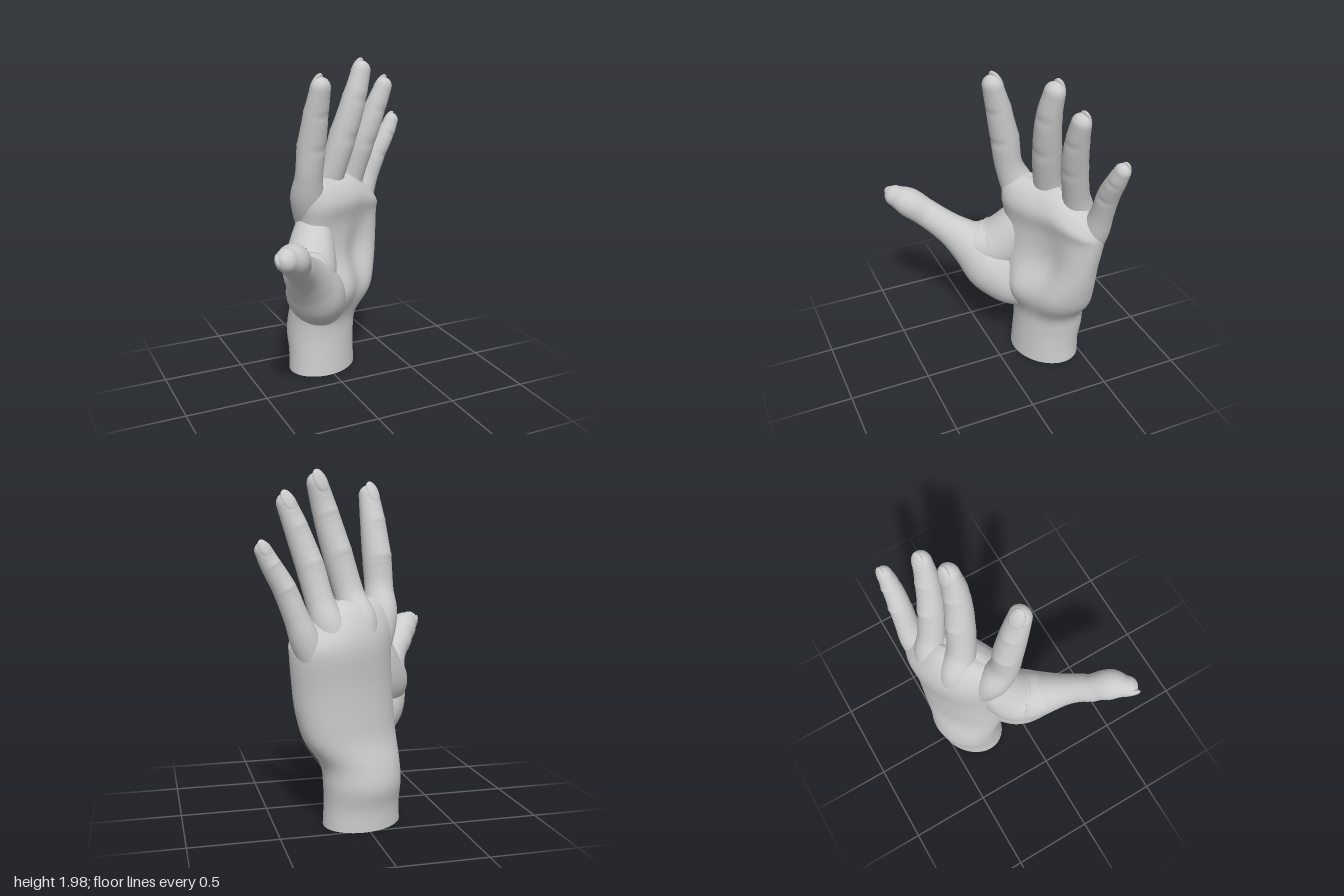
import * as THREE from 'three';

const skin = new THREE.MeshStandardMaterial({ color: 0xcccccc });
const V = (x, y, z) => new THREE.Vector3(x, y, z);
const gauss = (x, centre, width) => Math.exp(-(((x - centre) / width) ** 2));
const softPow = (c, p) => Math.sign(c) * Math.abs(c) ** p;

// Smooth curve through three neighbouring columns of a table of sections.
function spline(rows, from) {
  const points = rows.map((r) => V(r[from], r[from + 1], r[from + 2] ?? 0));
  return new THREE.CatmullRomCurve3(points, false, 'catmullrom', 0.5);
}

// Skin a list of closed rings; the first end gets a sharp flat cap, the last a smooth one.
function skinRings(rings) {
  const n = rings[0].length;
  const points = rings.flat();
  const index = [];
  for (let i = 0; i < rings.length - 1; i++) {
    for (let j = 0; j < n; j++) {
      const a = i * n + j;
      const b = i * n + ((j + 1) % n);
      index.push(a, a + n, b, b, a + n, b + n);
    }
  }
  const addCap = (ring, start, flip) => {
    const centre = points.length;
    points.push(ring.reduce((s, p) => s.add(p), V(0, 0, 0)).divideScalar(n));
    for (let j = 0; j < n; j++) {
      const a = start + j;
      const b = start + ((j + 1) % n);
      index.push(centre, ...(flip ? [a, b] : [b, a]));
    }
  };
  addCap(rings.at(-1), (rings.length - 1) * n, false);
  const bottom = points.length;
  points.push(...rings[0]);
  addCap(rings[0], bottom, true);
  const geometry = new THREE.BufferGeometry().setFromPoints(points);
  geometry.setIndex(index);
  geometry.computeVertexNormals();
  return geometry;
}

function addMesh(parent, name, geometry) {
  const mesh = new THREE.Mesh(geometry, skin);
  mesh.name = name;
  parent.add(mesh);
  return mesh;
}

// Wrist and palm sections: centre x, y, centre z, half width, half thickness, turn.
const palmRows = [
  [0.0, 0.0, -0.32, 0.238, 0.19, 0.44],
  [0.0, 0.12, -0.325, 0.232, 0.19, 0.44],
  [0.0, 0.24, -0.34, 0.235, 0.2, 0.44],
  [0.01, 0.36, -0.335, 0.245, 0.19, 0.44],
  [0.055, 0.5, -0.32, 0.295, 0.18, 0.44],
  [0.075, 0.65, -0.32, 0.315, 0.175, 0.44],
  [0.085, 0.8, -0.325, 0.325, 0.17, 0.46],
  [0.095, 0.98, -0.335, 0.335, 0.165, 0.49],
  [0.09, 1.12, -0.32, 0.34, 0.145, 0.5],
  [0.085, 1.22, -0.305, 0.32, 0.11, 0.5],
  [0.08, 1.265, -0.3, 0.27, 0.06, 0.5],
  [0.08, 1.275, -0.3, 0.2, 0.02, 0.5],
];

function palmGeometry(steps = 55, sides = 48) {
  const centres = spline(palmRows, 0);
  const sizes = spline(palmRows, 3);
  const rings = [];
  for (let i = 0; i <= steps; i++) {
    const c = centres.getPoint(i / steps);
    const { x: width, y: depth, z: turn } = sizes.getPoint(i / steps);
    const palmness = THREE.MathUtils.smoothstep(c.y, 0.35, 0.8);
    const ring = [];
    for (let j = 0; j < sides; j++) {
      const angle = (j / sides) * Math.PI * 2;
      const front = Math.max(0, Math.sin(angle));
      const back = Math.max(0, -Math.sin(angle));
      const u = width * softPow(Math.cos(angle), 1 - 0.15 * palmness);
      let v = depth * softPow(Math.sin(angle), 1 - 0.1 * palmness);
      // arched back, heel pads, hollow, pad below the fingers, knuckle line
      v += palmness * 0.4 * u * u;
      v += front * 0.05 * gauss(u, 0.17, 0.12) * gauss(c.y, 0.55, 0.17);
      v += front * 0.08 * gauss(u, -0.12, 0.14) * gauss(c.y, 0.58, 0.16);
      v -= front * 0.045 * gauss(u, 0.06, 0.1) * gauss(c.y, 0.8, 0.18);
      v += front * 0.028 * gauss(c.y, 1.13, 0.09);
      v -= back * 0.018 * gauss(c.y, 1.1, 0.13);
      const drop = 0.5 * Math.max(0, u - 0.08) * THREE.MathUtils.smoothstep(c.y, 0.95, 1.25);
      ring.push(V(
        c.x + u * Math.cos(turn) + v * Math.sin(turn),
        c.y - drop,
        c.z - u * Math.sin(turn) + v * Math.cos(turn),
      ));
    }
    rings.push(ring);
  }
  return skinRings(rings);
}

// Limb along sections of x, y, z, half width, half depth, with a domed tip.
function limb(rows, padNormal, { joints = [], steps = 60, sides = 20 } = {}) {
  const path = spline(rows, 0);
  const sizes = spline(rows, 3);
  const rings = [];
  let frame;
  const addRing = (t, lift, scale) => {
    const tangent = path.getTangent(t);
    const side = tangent.clone().cross(padNormal).normalize();
    const front = side.clone().cross(tangent);
    const size = sizes.getPoint(t);
    const centre = path.getPoint(t).addScaledVector(tangent, lift * size.x);
    // knuckle swelling with small wrinkles across the back, slight creases on the pad side
    const swell = joints.reduce(
      (s, k) => s + gauss(t, k, 0.035) * (0.09 + 0.05 * Math.cos((t - k) * 220)), 0);
    const crease = joints.reduce((s, k) => s + 0.07 * gauss(t, k, 0.025), 0);
    frame = { tangent, side, front, size, centre };
    rings.push(Array.from({ length: sides }, (_, j) => {
      const a = (j / sides) * Math.PI * 2;
      const bulge = 1 + swell * Math.max(0, -Math.sin(a)) - crease * Math.max(0, Math.sin(a));
      return centre.clone()
        .addScaledVector(side, Math.cos(a) * size.x * scale)
        .addScaledVector(front, Math.sin(a) * size.y * scale * bulge);
    }));
  };
  for (let i = 0; i <= steps; i++) addRing(i / steps, 0, 1);
  for (let i = 1; i <= 6; i++) {
    const a = (i / 6) * 1.45;
    addRing(1, Math.sin(a), Math.cos(a));
  }
  frame.centre = path.getPoint(1);
  return { geometry: skinRings(rings), frame };
}

// Curved nail lying on the back of a fingertip.
function addNail(parent, name, { tangent, side, front, size, centre }) {
  const nail = addMesh(parent, name, new THREE.SphereGeometry(1, 16, 12));
  nail.quaternion.setFromRotationMatrix(new THREE.Matrix4().makeBasis(side, tangent, front));
  nail.rotateX(0.22);
  nail.scale.set(size.x * 0.7, size.x * 1.15, size.y * 0.36);
  nail.position.copy(centre)
    .addScaledVector(tangent, size.x * 0.15)
    .addScaledVector(front, -size.y * 0.64);
}

const fingers = {
  indexFinger: [
    [-0.09, 0.9, -0.27, 0.07, 0.07], [-0.142, 1.15, -0.19, 0.098, 0.105],
    [-0.156, 1.32, -0.125, 0.086, 0.082], [-0.15, 1.5, -0.095, 0.085, 0.084],
    [-0.138, 1.7, -0.05, 0.076, 0.07], [-0.127, 1.845, -0.012, 0.064, 0.056],
  ],
  middleFinger: [
    [0.02, 0.88, -0.39, 0.07, 0.07], [0.02, 1.13, -0.34, 0.1, 0.11],
    [0.06, 1.3, -0.275, 0.086, 0.083], [0.12, 1.53, -0.235, 0.083, 0.083],
    [0.18, 1.75, -0.21, 0.074, 0.07], [0.225, 1.905, -0.215, 0.062, 0.055],
  ],
  ringFinger: [
    [0.14, 0.86, -0.43, 0.07, 0.07], [0.2, 1.1, -0.41, 0.095, 0.1],
    [0.245, 1.27, -0.365, 0.08, 0.08], [0.295, 1.47, -0.32, 0.078, 0.078],
    [0.362, 1.67, -0.29, 0.068, 0.065], [0.41, 1.795, -0.28, 0.058, 0.051],
  ],
  littleFinger: [
    [0.25, 0.78, -0.43, 0.06, 0.06], [0.335, 1.04, -0.45, 0.082, 0.082],
    [0.395, 1.2, -0.455, 0.068, 0.07], [0.455, 1.35, -0.45, 0.064, 0.065],
    [0.525, 1.475, -0.45, 0.056, 0.055], [0.564, 1.55, -0.455, 0.048, 0.043],
  ],
};

const thumbRows = [
  [-0.03, 0.43, -0.21, 0.1, 0.1], [-0.09, 0.52, -0.11, 0.155, 0.155],
  [-0.17, 0.63, -0.02, 0.185, 0.175], [-0.25, 0.75, 0.085, 0.145, 0.135],
  [-0.33, 0.855, 0.205, 0.1, 0.094], [-0.415, 0.945, 0.32, 0.088, 0.082],
  [-0.475, 1.012, 0.41, 0.09, 0.09], [-0.535, 1.04, 0.475, 0.067, 0.062],
];

// Fleshy fold that fills the back of the hand between the index finger and the thumb.
const webRows = [
  [-0.1, 1.14, -0.22, 0.05, 0.05], [-0.12, 0.95, -0.17, 0.115, 0.125],
  [-0.18, 0.77, -0.07, 0.17, 0.16], [-0.25, 0.765, 0.065, 0.14, 0.135],
  [-0.33, 0.85, 0.19, 0.075, 0.07],
];

export function createModel() {
  const hand = new THREE.Group();
  hand.name = 'hand';
  addMesh(hand, 'wristAndPalm', palmGeometry());

  for (const [name, rows] of Object.entries(fingers)) {
    const group = new THREE.Group();
    group.name = name;
    const { geometry, frame } = limb(rows, V(0.42, 0, 0.9), { joints: [0.6, 0.8] });
    addMesh(group, name + 'Skin', geometry);
    addNail(group, name + 'Nail', frame);
    hand.add(group);
  }

  const thumb = new THREE.Group();
  thumb.name = 'thumb';
  const padNormal = V(0.7, 0.3, 0.55);
  const { geometry, frame } = limb(thumbRows, padNormal, { joints: [0.71], sides: 28 });
  addMesh(thumb, 'thumbSkin', geometry);
  addNail(thumb, 'thumbNail', frame);
  addMesh(thumb, 'thumbWeb', limb(webRows, padNormal, { steps: 30, sides: 28 }).geometry);
  hand.add(thumb);
  return hand;
}
